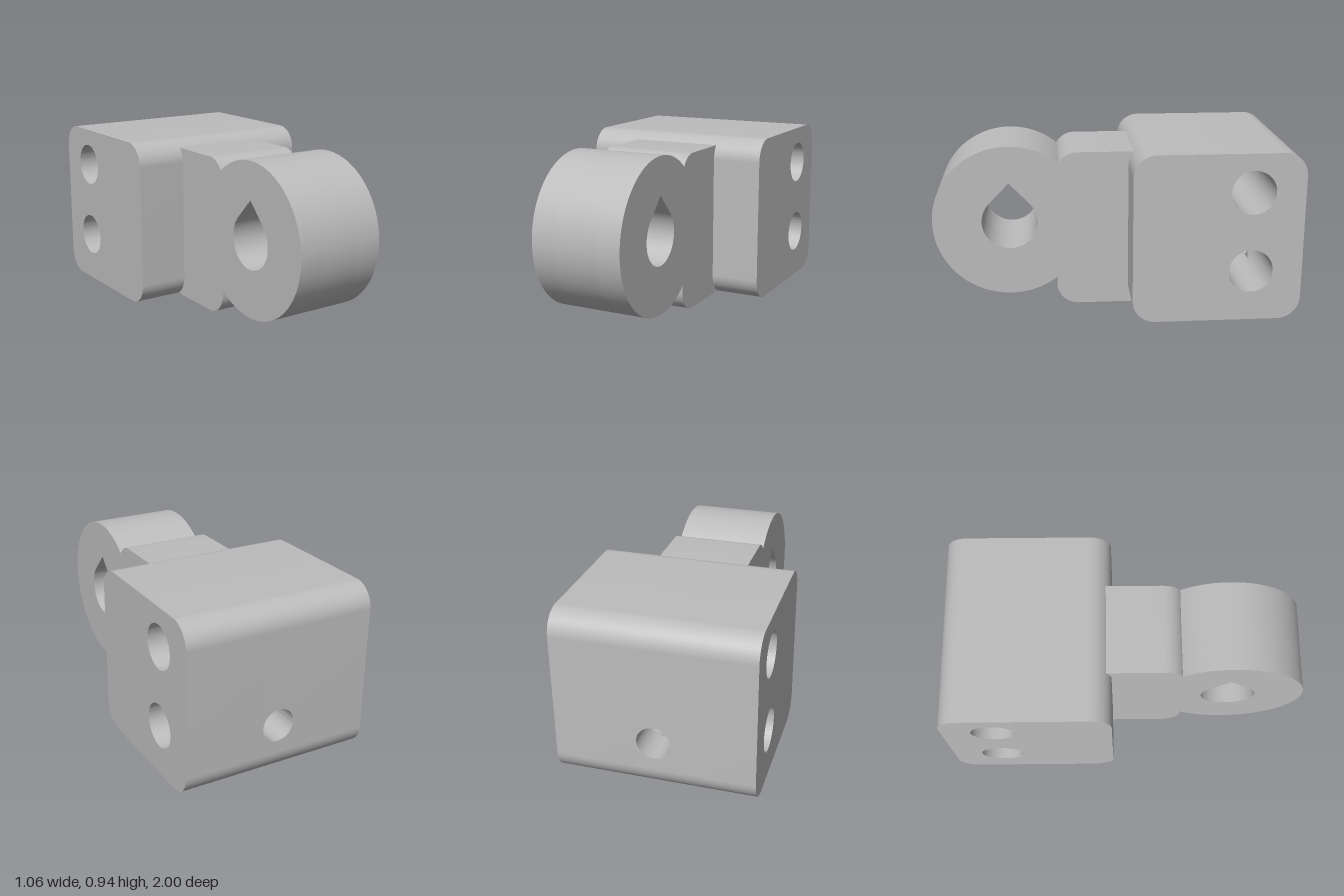
import * as THREE from 'three';
import { toCreasedNormals } from 'three/addons/utils/BufferGeometryUtils.js';

const PI = Math.PI;

// Extrudes a shape and keeps only its real edges sharp
function extrude(shape, depth) {
  const g = new THREE.ExtrudeGeometry(shape, { depth, bevelEnabled: false, curveSegments: 40 });
  return toCreasedNormals(g, 0.5);
}

// Side profile (z, y) swept across x from x0 to x1
function slab(shape, x0, x1) {
  return extrude(shape, x1 - x0).rotateY(-PI / 2).translate(x1, 0, 0);
}

function circle(z, y, r) {
  return new THREE.Path().absarc(z, y, r, 0, 2 * PI, true);
}

// Rounded block profile with two cross holes; bored opens a channel from the back
function blockProfile(bored) {
  const z0 = -1, z1 = -0.08, h = 0.935, r = 0.125;
  const hz = -0.72, hy = 0.282, hr = 0.12, c = 0.09;
  const s = new THREE.Shape();
  s.moveTo(z0 + r, 0);
  s.absarc(z1 - r, r, r, -PI / 2, 0);
  s.absarc(z1 - r, h - r, r, 0, PI / 2);
  s.absarc(z0 + r, h - r, r, PI / 2, PI);
  if (bored) {
    const a = PI - Math.asin(c / hr);
    s.lineTo(z0, hy + c);
    s.absarc(hz, hy, hr, a, -a, true);
    s.lineTo(z0, hy - c);
  } else {
    s.holes.push(circle(hz, hy, hr));
  }
  s.absarc(z0 + r, r, r, PI, 1.5 * PI);
  s.holes.push(circle(hz, 0.722, hr));
  return s;
}

// Rounded tongue merging into a ring with a teardrop hole
function armProfile(slotted) {
  const r = 0.12, cz = 0.577, cy = 0.505;
  const s = new THREE.Shape();
  s.moveTo(-0.1, 0.01);
  if (slotted) {
    s.lineTo(-0.04, 0.01);
    s.lineTo(-0.04, 0.14);
    s.lineTo(0.32, 0.14);
  } else {
    s.absarc(0.2, 0.13, r, -PI / 2, 0);
  }
  s.absarc(cz, cy, 0.423, Math.atan2(-0.336, -0.257), Math.atan2(0.325, -0.275));
  s.absarc(0.2, 0.77, r, Math.atan2(0.06, 0.1), PI / 2);
  s.absarc(-0.1, 0.77, r, PI / 2, PI);
  s.absarc(-0.1, 0.13, r, PI, 1.5 * PI);
  const drop = new THREE.Path();
  drop.moveTo(cz, 0.722);
  drop.absarc(cz, 0.502, 0.153, PI / 4, 0.75 * PI, true);
  drop.lineTo(cz, 0.722);
  s.holes.push(drop);
  return s;
}

export function createModel() {
  const model = new THREE.Group();
  const grey = new THREE.MeshStandardMaterial({ color: 0xbcbcbc });
  grey.name = 'grey';
  const add = (name, geometry, parent) => {
    const mesh = new THREE.Mesh(geometry, grey);
    mesh.name = name;
    parent.add(mesh);
  };

  // Mounting block: plain sides and a bored middle
  const block = new THREE.Group();
  block.name = 'mountingBlock';
  add('blockRight', slab(blockProfile(false), -0.53, -0.09), block);
  add('blockMiddle', slab(blockProfile(true), -0.09, 0.09), block);
  add('blockLeft', slab(blockProfile(false), 0.09, 0.53), block);

  // Round sleeve of the rear hole, ending at the lower cross hole
  const sleeve = new THREE.Shape();
  const q = 0.1;
  sleeve.moveTo(-q, -q).lineTo(q, -q).lineTo(q, q).lineTo(-q, q);
  sleeve.holes.push(circle(0, 0, 0.09));
  add('rearHoleSleeve', extrude(sleeve, 0.2).translate(0, 0.282, -1), block);
  model.add(block);

  // Arm: tongue and ring, with a slot under the tongue
  const arm = new THREE.Group();
  arm.name = 'ringArm';
  add('armRight', slab(armProfile(false), -0.253, -0.122), arm);
  add('armMiddle', slab(armProfile(true), -0.122, 0.122), arm);
  add('armLeft', slab(armProfile(false), 0.122, 0.253), arm);

  // Rounded back end of the slot
  const end = new THREE.Shape();
  end.moveTo(-0.122, 0.08);
  end.lineTo(-0.122, -0.05);
  end.lineTo(0.122, -0.05);
  end.lineTo(0.122, 0.08);
  end.absarc(0, 0.08, 0.122, 0, -PI, true);
  add('slotEnd', extrude(end, 0.13).rotateX(PI / 2).translate(0, 0.14, 0), arm);
  model.add(arm);

  return model;
}
